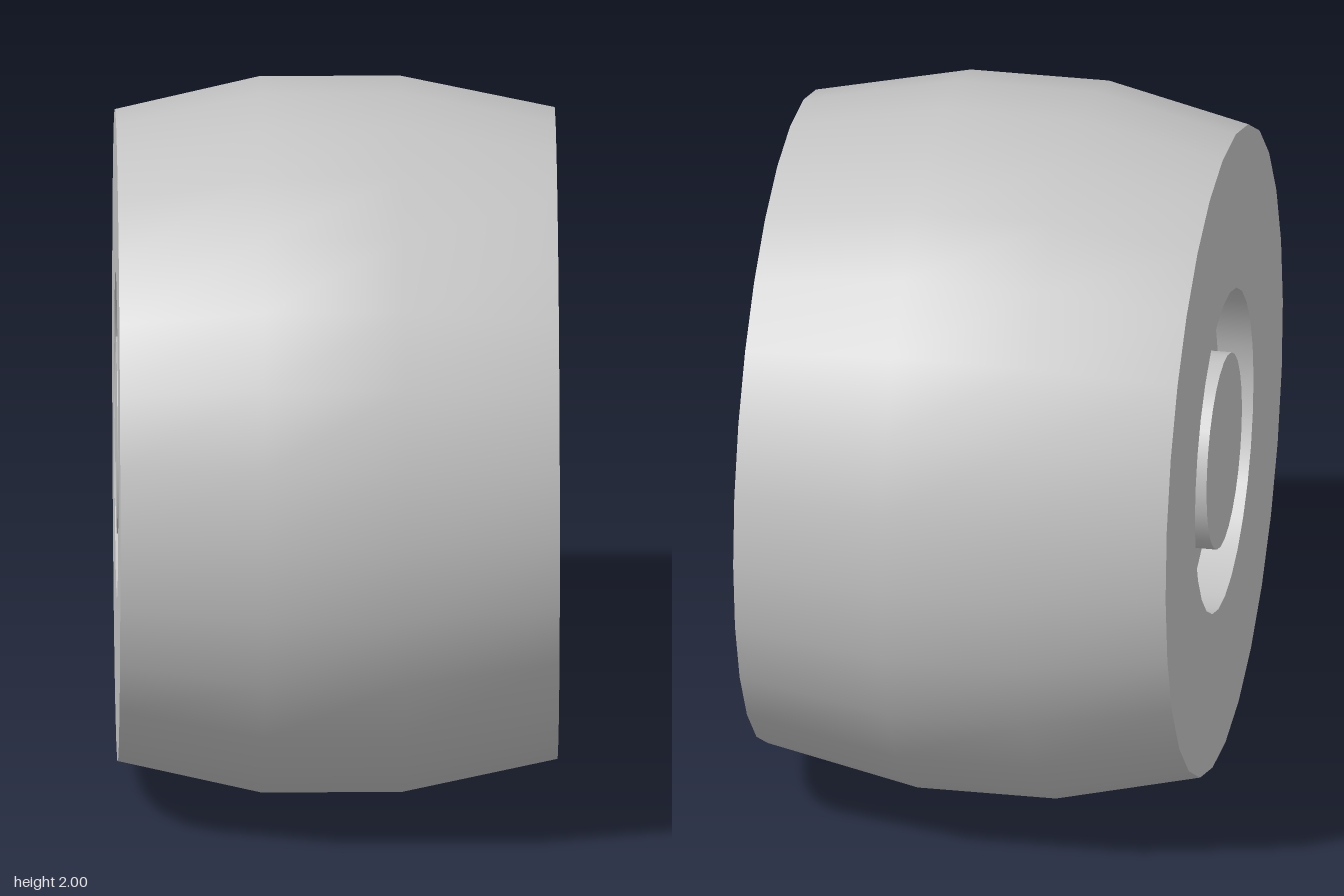
import * as THREE from 'three';

const SIDES = 28;
const TURN = -0.025; // slight roll of the facets about the axis

export function createModel() {
  const group = new THREE.Group();
  group.name = 'barrelCup';
  const grey = new THREE.MeshStandardMaterial({ color: 0xc4c4c4 });
  grey.name = 'plain grey';

  // Each profile lists [radius, x]; separate parts keep the edges between them sharp.
  const part = (name, profile) => {
    const points = profile.map(([r, x]) => new THREE.Vector2(r, x));
    const geometry = new THREE.LatheGeometry(points, SIDES, TURN, Math.PI * 2);
    geometry.rotateZ(-Math.PI / 2); // lay the axis along x
    geometry.translate(0, 1, 0);
    const mesh = new THREE.Mesh(geometry, grey);
    mesh.name = name;
    group.add(mesh);
  };

  // Closed end: flush hub inside a ring-shaped recess
  part('hubFace', [[0, -0.61], [0.275, -0.61]]);
  part('hubSide', [[0.275, -0.61], [0.275, -0.51]]);
  part('recessFloor', [[0.275, -0.51], [0.455, -0.51]]);
  part('recessWall', [[0.455, -0.51], [0.455, -0.61]]);
  part('closedEnd', [[0.455, -0.61], [0.91, -0.61]]);

  // Bulging shell and open end
  part('outerWall', [[0.91, -0.61], [1, -0.21], [1, 0.18], [0.91, 0.61]]);
  part('rim', [[0.91, 0.61], [0.86, 0.61]]);
  part('innerWall', [[0.86, 0.61], [0.95, 0.18], [0.95, -0.21], [0.885, -0.5]]);
  part('innerFloor', [[0.885, -0.5], [0, -0.5]]);

  return group;
}
